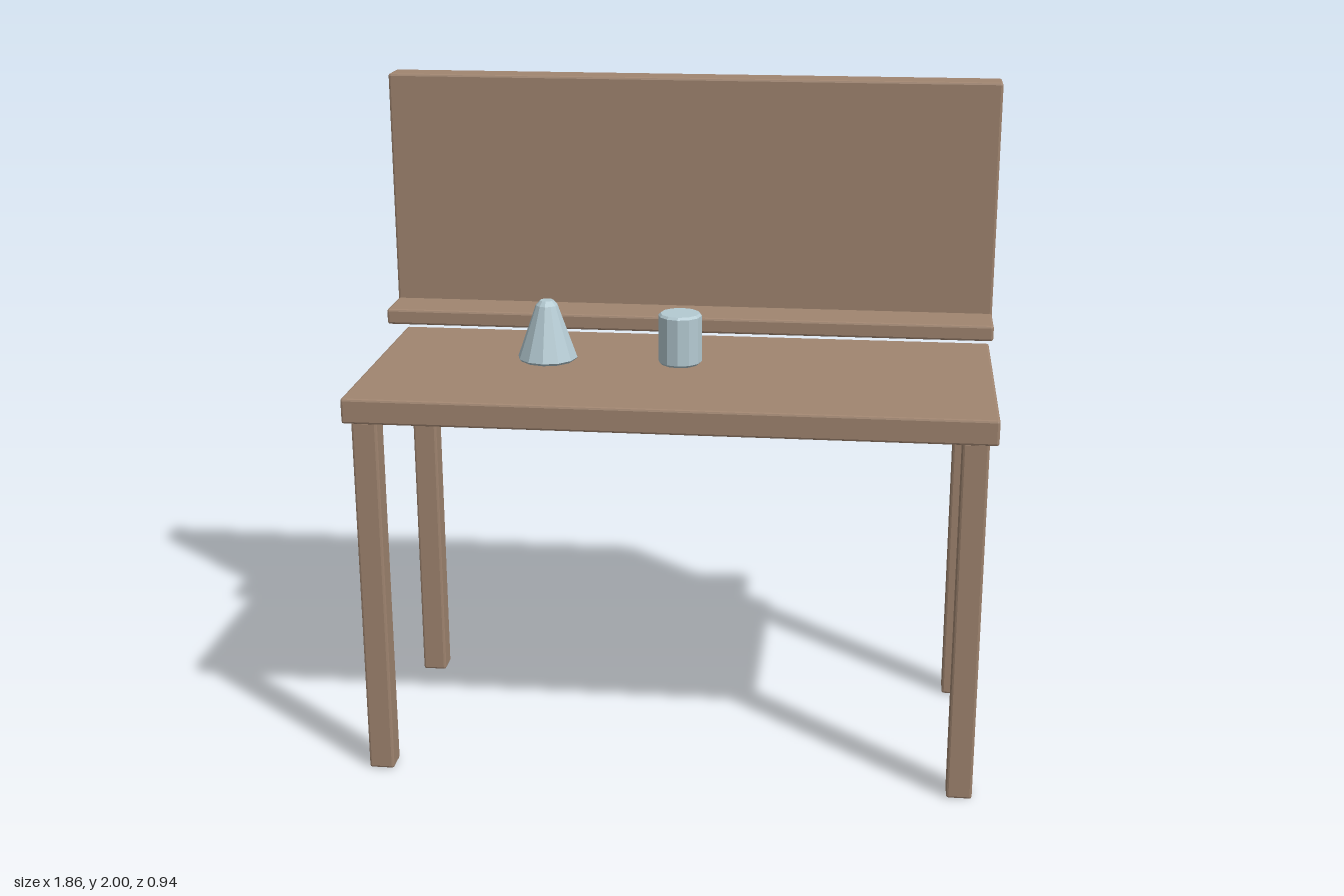
import * as THREE from 'three';
import { RoundedBoxGeometry } from 'three/addons/geometries/RoundedBoxGeometry.js';

export function createModel() {
  const model = new THREE.Group();
  model.name = 'workbench';
  const wood = new THREE.MeshStandardMaterial({ color: 0xa08570, flatShading: true });
  const glass = new THREE.MeshStandardMaterial({ color: 0xb4cad2, flatShading: true });

  // Board with slightly softened edges, given by its extents
  function board(name, [x0, x1], [y0, y1], [z0, z1]) {
    const geometry = new RoundedBoxGeometry(x1 - x0, y1 - y0, z1 - z0, 1, 0.007);
    const mesh = new THREE.Mesh(geometry, wood);
    mesh.name = name;
    mesh.position.set((x0 + x1) / 2, (y0 + y1) / 2, (z0 + z1) / 2);
    model.add(mesh);
  }

  // Twelve-sided vessel turned from a profile of [radius, height]
  function vessel(name, x, z, profile) {
    const points = profile.map(([r, y]) => new THREE.Vector2(r, y));
    const mesh = new THREE.Mesh(new THREE.LatheGeometry(points, 12), glass);
    mesh.name = name;
    mesh.position.set(x, 1.195, z);
    model.add(mesh);
  }

  // Table
  const width = [-0.93, 0.93];
  board('tableTop', width, [1.1, 1.175], [-0.32, 0.472]);
  for (const [side, x] of [['Right', -0.905], ['Left', 0.83]]) {
    board('front' + side + 'Leg', [x, x + 0.075], [0, 1.105], [0.386, 0.461]);
    board('back' + side + 'Leg', [x, x + 0.075], [0, 1.105], [-0.31, -0.235]);
  }

  // Upright divider with a shelf running through it
  board('backPanel', width, [1.207, 2], [-0.323, -0.223]);
  board('shelf', width, [1.247, 1.295], [-0.472, -0.077]);

  // Glassware, hovering just over the table
  vessel('conicalFlask', -0.4, 0.07, [
    [0, 0], [0.082, 0], [0.09, 0.008], [0.033, 0.168], [0.02, 0.182], [0, 0.182],
  ]);
  vessel('beaker', 0, 0.07, [
    [0, 0], [0.058, 0], [0.065, 0.007], [0.065, 0.147], [0.058, 0.154], [0, 0.154],
  ]);

  return model;
}
